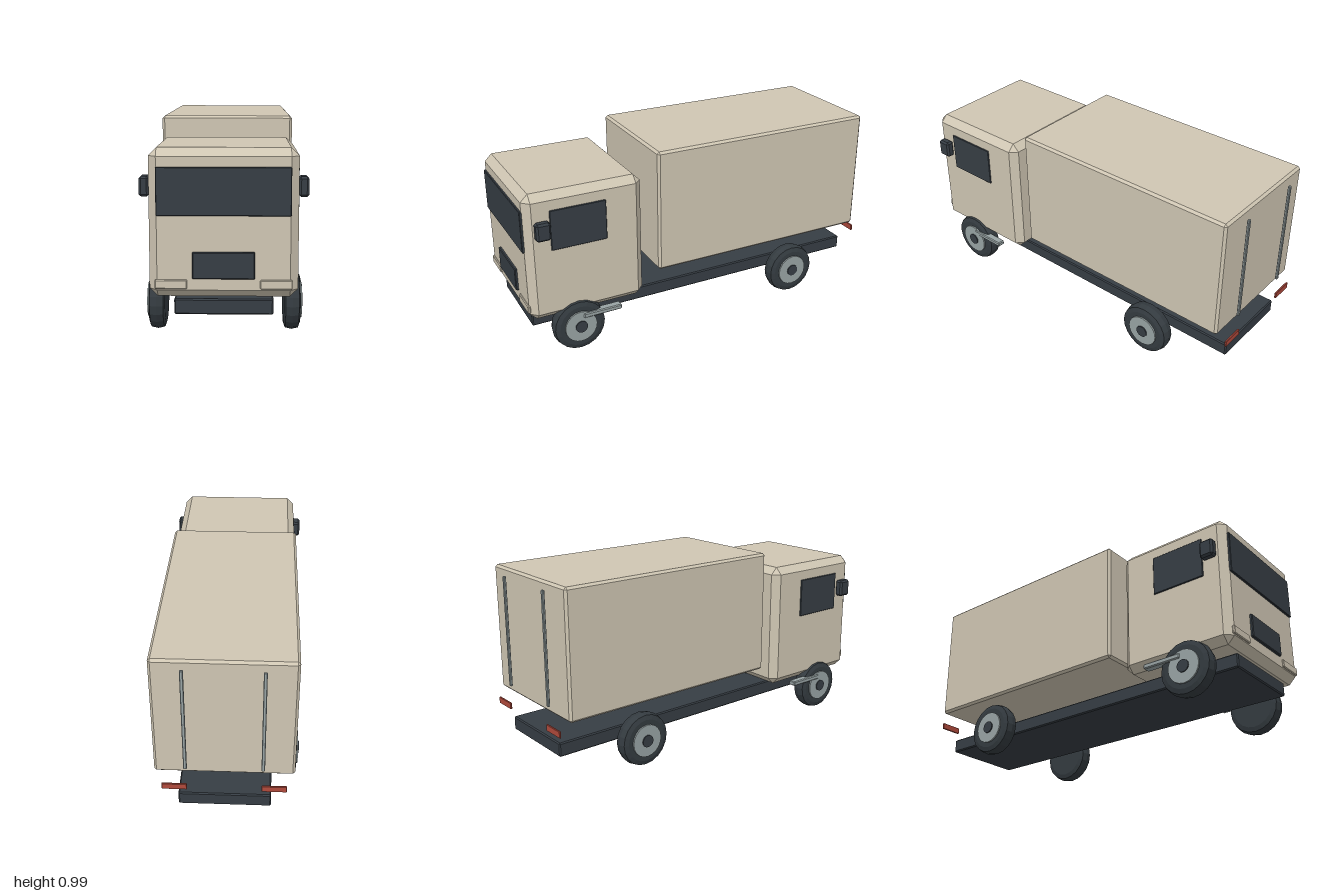
import * as THREE from 'three';
import { ConvexGeometry } from 'three/addons/geometries/ConvexGeometry.js';

const mat = (name, color, extra = {}) => {
  const m = new THREE.MeshStandardMaterial({ color, ...extra });
  m.name = name;
  return m;
};

// Box with every edge and corner cut flat; ranges are [min, max]
function chamferBox([x0, x1], [y0, y1], [z0, z1], c) {
  const half = [(x1 - x0) / 2, (y1 - y0) / 2, (z1 - z0) / 2];
  const pts = [];
  for (const sx of [-1, 1]) for (const sy of [-1, 1]) for (const sz of [-1, 1]) {
    for (let face = 0; face < 3; face++) {
      const p = half.map((h, i) => (i === face ? h : h - c));
      pts.push(new THREE.Vector3(sx * p[0], sy * p[1], sz * p[2]));
    }
  }
  const g = new ConvexGeometry(pts);
  g.translate((x0 + x1) / 2, (y0 + y1) / 2, (z0 + z1) / 2);
  return g;
}

export function createModel() {
  const truck = new THREE.Group();
  truck.name = 'boxTruck';

  const beige = mat('beigePaint', 0xcfc6b3);
  const dark = mat('darkTrim', 0x363d44);
  const tyreDark = mat('tyreRubber', 0x343b40, { flatShading: true });
  const metal = mat('greyMetal', 0x98a3a4);
  const red = mat('tailRed', 0xb04a3c);

  const add = (name, geometry, material, parent = truck) => {
    const mesh = new THREE.Mesh(geometry, material);
    mesh.name = name;
    parent.add(mesh);
    return mesh;
  };
  const box = (name, x, y, z, c, material) => add(name, chamferBox(x, y, z, c), material);

  // Main bodies
  box('chassis', [-0.225, 0.225], [0.127, 0.2], [-0.96, 0.955], 0.006, dark);
  box('cab', [-0.335, 0.335], [0.213, 0.888], [0.375, 0.987], 0.037, beige);
  box('cargoBox', [-0.335, 0.335], [0.336, 0.988], [-0.96, 0.29], 0.012, beige);

  // Front face of the cab
  box('windshield', [-0.3, 0.3], [0.588, 0.805], [0.982, 0.997], 0.003, dark);
  box('grille', [-0.14, 0.14], [0.303, 0.425], [0.982, 1.0], 0.004, dark);

  // Paired parts, mirrored across x
  for (const [side, s] of [['left', 1], ['right', -1]]) {
    const span = (a, b) => (s > 0 ? [a, b] : [-b, -a]);
    box(side + 'Headlight', span(0.163, 0.308), [0.256, 0.298], [0.98, 0.995], 0.004, beige);
    box(side + 'Window', span(0.33, 0.341), [0.59, 0.8], [0.574, 0.863], 0.003, dark);
    box(side + 'Mirror', span(0.335, 0.38), [0.665, 0.757], [0.87, 0.944], 0.01, dark);
    box(side + 'Step', span(0.325, 0.368), [0.187, 0.213], [0.52, 0.727], 0.005, metal);
    box(side + 'DoorBar', span(0.175, 0.192), [0.385, 0.955], [-0.993, -0.98], 0.003, metal);
    box(side + 'TailLight', span(0.178, 0.298), [0.262, 0.296], [-1.0, -0.99], 0.002, red);
  }

  // Wheels: crowned tyre, hub disc and cap, axis along x
  const profile = [[0, -0.039], [0.11, -0.039], [0.133, -0.031], [0.14, 0],
    [0.133, 0.031], [0.11, 0.039], [0, 0.039]].map(([r, y]) => new THREE.Vector2(r, y));
  const tyreGeo = new THREE.LatheGeometry(profile, 20).rotateZ(-Math.PI / 2);
  const hubGeo = new THREE.CylinderGeometry(0.085, 0.085, 0.02, 20)
    .rotateZ(-Math.PI / 2).translate(0.037, 0, 0);
  const capGeo = new THREE.CylinderGeometry(0.032, 0.032, 0.02, 16)
    .rotateZ(-Math.PI / 2).translate(0.043, 0, 0);
  for (const [end, z] of [['front', 0.743], ['rear', -0.535]]) {
    for (const [side, s] of [['Left', 1], ['Right', -1]]) {
      const wheel = new THREE.Group();
      wheel.name = end + side + 'Wheel';
      wheel.position.set(s * 0.316, 0.142, z);
      if (s < 0) wheel.rotation.y = Math.PI;
      add('tyre', tyreGeo, tyreDark, wheel);
      add('hub', hubGeo, metal, wheel);
      add('hubCap', capGeo, dark, wheel);
      truck.add(wheel);
    }
  }
  return truck;
}
